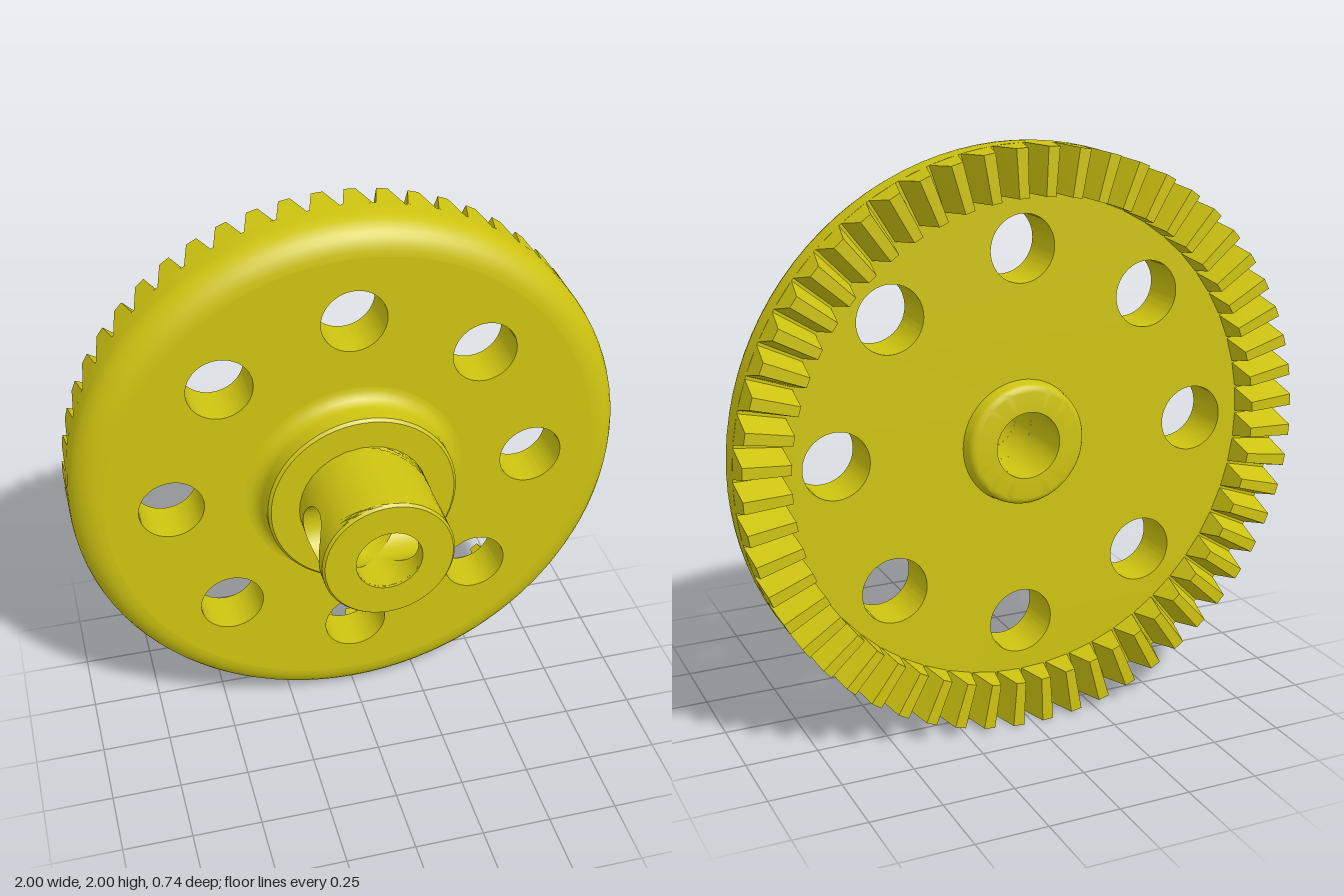
import * as THREE from 'three';
import { toCreasedNormals } from 'three/addons/utils/BufferGeometryUtils.js';
import { ParametricGeometry } from 'three/addons/geometries/ParametricGeometry.js';

const BORE = 0.115, HUB = 0.23, CROSS_Z = 0.2;
const FRONT = -0.09, BACK = -0.26, TIP = -0.37;
const TEETH = 56, INNER = 0.84;

export function createModel() {
  const model = new THREE.Group();
  const material = new THREE.MeshStandardMaterial({ color: 0xcec411 });
  const gear = new THREE.Group();
  gear.name = 'crownGear';
  gear.position.y = 1;
  model.add(gear);

  const add = (name, geometry, crease = 0.6) => {
    const mesh = new THREE.Mesh(toCreasedNormals(geometry, crease), material);
    mesh.name = name;
    gear.add(mesh);
    return mesh;
  };
  // Profile of [radius, z] pairs turned around the z axis
  const turned = (points, segments = 64) =>
    new THREE.LatheGeometry(points.map(([r, z]) => new THREE.Vector2(r, z)), segments).rotateX(Math.PI / 2);
  // Quarter-round points for fillets
  const arc = (r, z, radius, from, to, n = 6) => Array.from({ length: n + 1 }, (_, i) => {
    const a = from + (to - from) * i / n;
    return [r + radius * Math.cos(a), z + radius * Math.sin(a)];
  });

  // Web plate with the bore and eight round holes
  const plate = new THREE.Shape().absarc(0, 0, 0.89, 0, Math.PI * 2);
  const punch = (x, y) => plate.holes.push(new THREE.Path().absarc(x, y, BORE, 0, Math.PI * 2, true));
  punch(0, 0);
  for (let i = 0; i < 8; i++) {
    const a = i * Math.PI / 4;
    punch(0.657 * Math.cos(a), 0.657 * Math.sin(a));
  }
  add('web', new THREE.ExtrudeGeometry(plate, { depth: FRONT - BACK, bevelEnabled: false, curveSegments: 48 })
    .translate(0, 0, BACK));

  // Rounded outer rim
  add('rim', turned([[0.89, BACK], [1, BACK], ...arc(0.89, FRONT - 0.11, 0.11, 0, Math.PI / 2, 8)], 96));

  // Ring of tapered teeth on the back of the rim
  for (let i = 0; i < TEETH; i++) {
    const tooth = new THREE.BoxGeometry(1, 1, 1);
    const p = tooth.attributes.position;
    const middle = (i + 0.5) * Math.PI * 2 / TEETH;
    for (let k = 0; k < p.count; k++) {
      const r = p.getX(k) > 0 ? 1 : INNER;
      const atTip = p.getZ(k) < 0;
      const a = middle + Math.sign(p.getY(k)) * (atTip ? 0.02 : 0.051);
      p.setXYZ(k, r * Math.cos(a), r * Math.sin(a), atTip ? TIP : BACK);
    }
    add('tooth', tooth, 0.2);
  }

  // Front collar, filleted into the web
  add('collar', turned([
    ...arc(0.395, FRONT + 0.055, 0.055, -Math.PI / 2, -Math.PI),
    [0.34, 0.02], [0.33, 0.03], [HUB - 0.01, 0.03],
  ]));
  add('collarBore', turned([[BORE, 0.03], [BORE, FRONT]]));

  // Low boss around the bore on the back
  add('backBoss', turned([
    [BORE, BACK], [BORE, -0.315], [0.185, -0.315],
    ...arc(0.185, -0.29, 0.025, -Math.PI / 2, 0, 4), [0.215, BACK],
  ]));

  // Hub tube: each half is a curved patch around the cross hole
  const hubPatch = (radius, inward) => (u, v, target) => {
    const t = (inward ? 1 - u : u) * Math.PI * 2;
    const c = Math.cos(t), s = Math.sin(t), m = Math.max(Math.abs(c), Math.abs(s));
    const holeAngle = Math.asin(THREE.MathUtils.clamp(BORE * s / radius, -1, 1));
    const angle = THREE.MathUtils.lerp(holeAngle, s / m * Math.PI / 2, v);
    const z = CROSS_Z + THREE.MathUtils.lerp(BORE * c, c / m * (c > 0 ? 0.16 : 0.17), v);
    target.set(radius * Math.cos(angle), radius * Math.sin(angle), z);
  };
  // Wall of the cross hole, from the bore to the outside
  const crossWall = (u, v, target) => {
    const t = u * Math.PI * 2, y = BORE * Math.sin(t);
    const x0 = BORE * Math.abs(Math.cos(t)), x1 = Math.sqrt(HUB * HUB - y * y);
    target.set(THREE.MathUtils.lerp(x0, x1, v), y, CROSS_Z + BORE * Math.cos(t));
  };
  for (const turn of [0, Math.PI]) {
    add('hubOuter', new ParametricGeometry(hubPatch(HUB, false), 64, 8).rotateZ(turn));
    add('hubBore', new ParametricGeometry(hubPatch(BORE, true), 64, 8).rotateZ(turn));
    add('crossHole', new ParametricGeometry(crossWall, 64, 2).rotateZ(turn));
  }
  add('hubEnd', turned([[HUB, 0.36], [HUB - 0.008, 0.37], [BORE, 0.37], [BORE, 0.36]]));

  return model;
}
